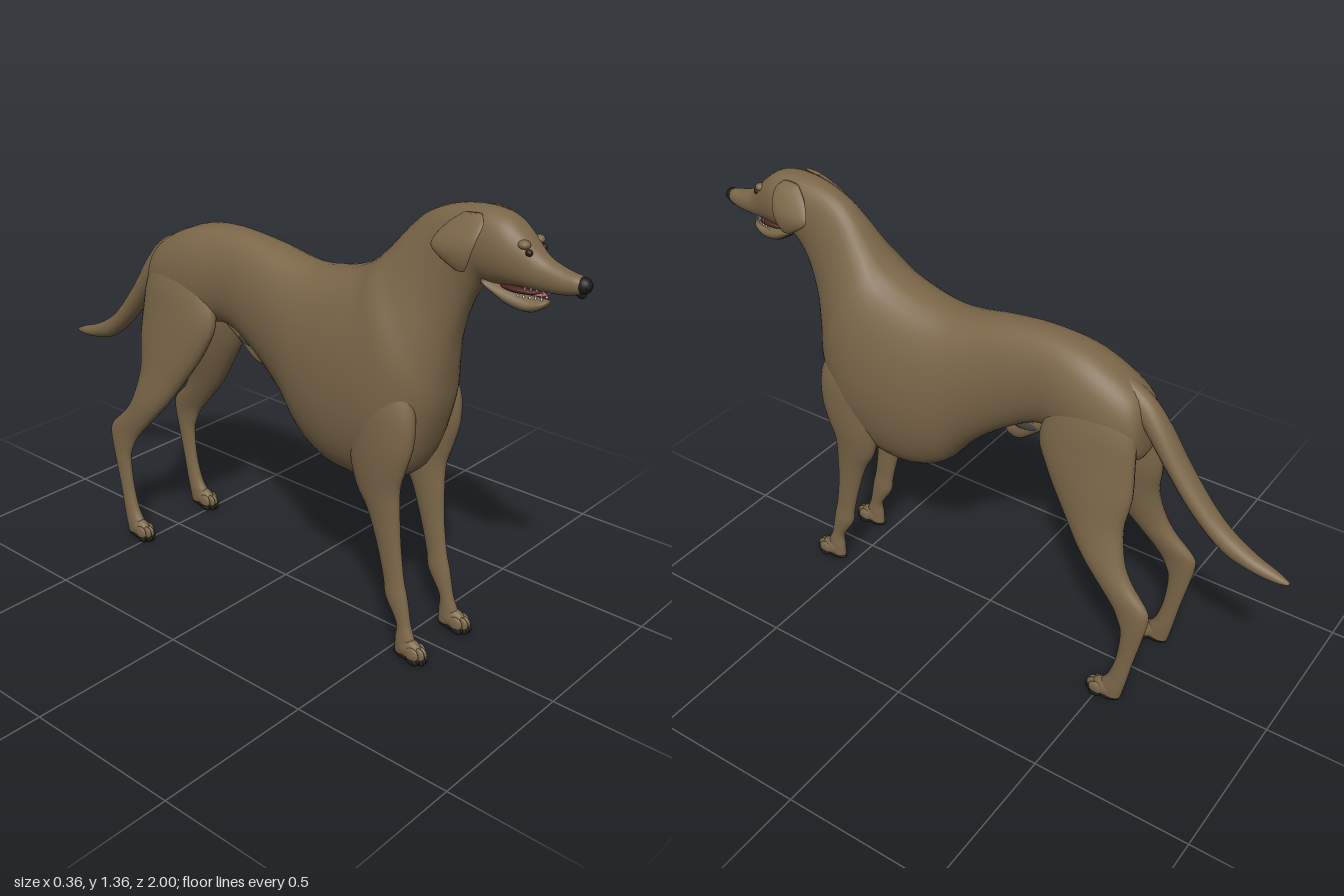
import * as THREE from 'three';

const mat = (name, color) => {
  const m = new THREE.MeshStandardMaterial({ color });
  m.name = name;
  return m;
};

// Smooth value between rows b and c, with neighbours a and d
const spline = (a, b, c, d, t) =>
  b + 0.5 * t * (c - a + t * (2 * a - 5 * b + 4 * c - d + t * (3 * (b - c) + d - a)));

// Skin over oval sections. Each row: [z, y] of the upper/front edge, [z, y] of the
// opposite edge, half width, centre x. Rows run forward or downward.
function loft(rows, { side = 1, power = 1, n = 24, sub = 4 } = {}) {
  const fine = [];
  const at = i => rows[Math.min(rows.length - 1, Math.max(0, i))];
  for (let i = 0; i < rows.length - 1; i++)
    for (let k = 0; k < sub; k++)
      fine.push(rows[0].map((_, c) => spline(at(i - 1)[c], at(i)[c], at(i + 1)[c], at(i + 2)[c], k / sub)));
  fine.push(at(rows.length));
  const pos = [], index = [];
  for (const [z1, y1, z2, y2, w, x = 0] of fine)
    for (let j = 0; j < n; j++) {
      const a = (j / n) * Math.PI * 2, c = Math.cos(a) / 2, s = Math.sin(a);
      pos.push(side * x + w * Math.sign(s) * Math.abs(s) ** power,
        (y1 + y2) / 2 + c * (y1 - y2), (z1 + z2) / 2 + c * (z1 - z2));
    }
  for (let i = 0; i < fine.length - 1; i++)
    for (let j = 0; j < n; j++) {
      const p = i * n + j, q = i * n + (j + 1) % n;
      index.push(p, p + n, q, q, p + n, q + n);
    }
  // End caps
  for (const [r, flip] of [[0, false], [fine.length - 1, true]]) {
    const [z1, y1, z2, y2, , x = 0] = fine[r], centre = pos.length / 3;
    pos.push(side * x, (y1 + y2) / 2, (z1 + z2) / 2);
    for (let j = 0; j < n; j++) {
      const p = r * n + j, q = r * n + (j + 1) % n;
      index.push(centre, flip ? q : p, flip ? p : q);
    }
  }
  const g = new THREE.BufferGeometry();
  g.setAttribute('position', new THREE.Float32BufferAttribute(pos, 3));
  g.setIndex(index);
  g.computeVertexNormals();
  return g;
}

// Rump, back, chest, neck, skull and upper muzzle
const BODY = [
  [-0.53, 0.97, -0.535, 0.89, 0.03], [-0.505, 1.02, -0.525, 0.82, 0.08],
  [-0.43, 1.07, -0.43, 0.79, 0.104], [-0.32, 1.113, -0.31, 0.8, 0.106],
  [-0.19, 1.126, -0.2, 0.815, 0.095], [-0.05, 1.112, -0.08, 0.752, 0.106],
  [0.05, 1.092, 0.04, 0.655, 0.125], [0.13, 1.084, 0.14, 0.542, 0.146],
  [0.21, 1.095, 0.25, 0.492, 0.16], [0.28, 1.115, 0.38, 0.496, 0.166],
  [0.33, 1.137, 0.51, 0.555, 0.163], [0.37, 1.165, 0.58, 0.735, 0.148],
  [0.41, 1.207, 0.6, 0.865, 0.115], [0.465, 1.27, 0.618, 0.98, 0.087],
  [0.52, 1.317, 0.655, 1.09, 0.071], [0.6, 1.349, 0.7, 1.155, 0.067],
  [0.69, 1.36, 0.74, 1.165, 0.07], [0.76, 1.35, 0.78, 1.17, 0.066],
  [0.81, 1.318, 0.82, 1.172, 0.053], [0.865, 1.266, 0.87, 1.172, 0.037],
  [0.92, 1.243, 0.925, 1.176, 0.031], [0.965, 1.234, 0.965, 1.185, 0.024],
  [0.985, 1.225, 0.985, 1.195, 0.013],
];
const JAW = [
  [0.71, 1.185, 0.71, 1.16, 0.05], [0.78, 1.163, 0.775, 1.118, 0.041],
  [0.83, 1.15, 0.835, 1.109, 0.032], [0.868, 1.15, 0.872, 1.126, 0.022],
  [0.885, 1.152, 0.885, 1.142, 0.01],
];
const TAIL = [
  [-0.998, 0.594, -0.998, 0.586, 0.005, 0.016], [-0.96, 0.612, -0.965, 0.581, 0.016, 0.016],
  [-0.875, 0.645, -0.9, 0.587, 0.026, 0.016], [-0.77, 0.718, -0.81, 0.612, 0.034, 0.015],
  [-0.66, 0.85, -0.71, 0.69, 0.04, 0.012], [-0.585, 0.96, -0.62, 0.795, 0.042, 0.008],
  [-0.53, 1.018, -0.555, 0.88, 0.04, 0.004], [-0.46, 1.054, -0.5, 0.95, 0.035, 0],
  [-0.4, 1.06, -0.42, 1.0, 0.02, 0],
];
const HIND_LEG = [
  [-0.3, 1.02, -0.49, 1.0, 0.03, 0.055], [-0.25, 0.92, -0.525, 0.91, 0.05, 0.066],
  [-0.225, 0.82, -0.535, 0.82, 0.052, 0.078], [-0.265, 0.72, -0.54, 0.72, 0.052, 0.09],
  [-0.33, 0.62, -0.528, 0.62, 0.046, 0.106], [-0.4, 0.52, -0.548, 0.52, 0.039, 0.126],
  [-0.46, 0.45, -0.585, 0.455, 0.032, 0.136], [-0.525, 0.375, -0.64, 0.4, 0.024, 0.144],
  [-0.55, 0.33, -0.65, 0.36, 0.021, 0.147], [-0.565, 0.28, -0.635, 0.28, 0.019, 0.148],
  [-0.557, 0.18, -0.613, 0.18, 0.018, 0.148], [-0.535, 0.1, -0.598, 0.1, 0.02, 0.149],
  [-0.51, 0.06, -0.588, 0.05, 0.022, 0.15], [-0.51, 0.02, -0.58, 0.015, 0.02, 0.15],
];
const FRONT_LEG = [
  [0.5, 0.9, 0.35, 0.88, 0.03, 0.1], [0.56, 0.78, 0.34, 0.78, 0.046, 0.106],
  [0.565, 0.68, 0.35, 0.68, 0.046, 0.11], [0.545, 0.6, 0.355, 0.59, 0.04, 0.112],
  [0.525, 0.53, 0.375, 0.51, 0.034, 0.109], [0.525, 0.45, 0.415, 0.44, 0.028, 0.106],
  [0.532, 0.35, 0.45, 0.34, 0.022, 0.104], [0.547, 0.25, 0.477, 0.24, 0.019, 0.104],
  [0.562, 0.19, 0.488, 0.18, 0.021, 0.104], [0.578, 0.11, 0.53, 0.11, 0.017, 0.105],
  [0.595, 0.065, 0.53, 0.06, 0.02, 0.107], [0.595, 0.02, 0.53, 0.015, 0.02, 0.107],
];
const EAR = [
  [0.705, 1.35, 0.65, 1.345, 0.008, 0.05], [0.724, 1.33, 0.615, 1.315, 0.011, 0.07],
  [0.722, 1.295, 0.592, 1.28, 0.01, 0.092], [0.714, 1.26, 0.59, 1.255, 0.009, 0.102],
  [0.703, 1.228, 0.622, 1.228, 0.008, 0.1], [0.69, 1.205, 0.66, 1.205, 0.005, 0.094],
];
const SHEATH = [
  [-0.24, 0.83, -0.24, 0.8, 0.01], [-0.19, 0.83, -0.18, 0.765, 0.022],
  [-0.12, 0.8, -0.115, 0.715, 0.024], [-0.07, 0.76, -0.075, 0.715, 0.014],
  [-0.055, 0.745, -0.06, 0.73, 0.005],
];

export function createModel() {
  const coat = mat('brown coat', 0x7b6749);
  const black = mat('nose and pad black', 0x1d1b1a);
  const eyeDark = mat('eye dark', 0x2a1c12);
  const pink = mat('tongue pink', 0xb5646a);
  const white = mat('tooth white', 0xe6dfcf);
  const gum = mat('mouth dark red', 0x4a2422);
  const grey = mat('skin grey', 0x4a443c);

  const dog = new THREE.Group();
  dog.name = 'dog';
  const add = (name, geometry, material, parent = dog) => {
    const m = new THREE.Mesh(geometry, material);
    m.name = name;
    parent.add(m);
    return m;
  };
  const ball = (name, material, p, s, parent) => {
    const m = add(name, new THREE.SphereGeometry(1, 18, 12), material, parent);
    m.position.set(...p);
    m.scale.set(...s);
    return m;
  };

  add('body', loft(BODY, { power: 0.82, n: 40 }), coat);
  add('tail', loft(TAIL), coat);
  add('sheath', loft(SHEATH), coat);

  // Face
  add('lowerJaw', loft(JAW), coat);
  ball('mouthLining', gum, [0, 1.166, 0.8], [0.034, 0.012, 0.065]);
  ball('tongue', pink, [0, 1.161, 0.833], [0.02, 0.007, 0.045]);
  ball('nose', black, [0, 1.211, 0.977], [0.021, 0.022, 0.023]);
  ball('noseGroove', black, [0, 1.188, 0.973], [0.008, 0.012, 0.014]);

  // Four toes with claws, and a dark sole
  const paw = (name, x, z) => {
    const g = new THREE.Group();
    g.name = name;
    g.position.set(x, 0, z);
    dog.add(g);
    ball('instep', coat, [0, 0.038, 0.008], [0.024, 0.034, 0.044], g);
    ball('sole', black, [0, 0.014, 0], [0.021, 0.014, 0.045], g);
    for (let i = 0; i < 4; i++) {
      const tx = (i - 1.5) * 0.0125, tz = i === 1 || i === 2 ? 0.043 : 0.03;
      ball('toe', coat, [tx, 0.034, tz], [0.0085, 0.022, 0.025], g);
      ball('toePad', black, [tx, 0.012, tz + 0.004], [0.008, 0.012, 0.021], g);
      ball('claw', black, [tx, 0.02, tz + 0.021], [0.004, 0.009, 0.009], g);
    }
  };

  for (const side of [1, -1]) {
    const label = side > 0 ? 'left' : 'right';
    add(label + 'HindLeg', loft(HIND_LEG, { side }), coat);
    add(label + 'FrontLeg', loft(FRONT_LEG, { side }), coat);
    paw(label + 'HindPaw', side * 0.151, -0.535);
    paw(label + 'FrontPaw', side * 0.108, 0.572);
    add(label + 'Ear', loft(EAR, { side }), coat);
    ball(label + 'Eye', eyeDark, [side * 0.034, 1.272, 0.838], [0.009, 0.009, 0.01]);
    ball(label + 'Brow', coat, [side * 0.033, 1.29, 0.822], [0.016, 0.012, 0.017]);
    ball(label + 'Nostril', eyeDark, [side * 0.01, 1.211, 0.994], [0.005, 0.005, 0.004]);
    ball(label + 'SkinPatch', grey, [side * 0.018, 0.785, -0.13], [0.012, 0.022, 0.05]);
    // Teeth along both jaws
    for (let i = 0; i < 5; i++) {
      const x = side * (0.032 - i * 0.0045), z = 0.81 + i * 0.015;
      const lower = add('lowerTooth', new THREE.ConeGeometry(0.004, 0.014, 6), white);
      lower.position.set(x * 0.85, 1.158, z);
      const upper = add('upperTooth', new THREE.ConeGeometry(0.004, 0.014, 6), white);
      upper.position.set(x * 0.9, 1.172, z + 0.02);
      upper.rotation.x = Math.PI;
    }
  }
  return dog;
}
